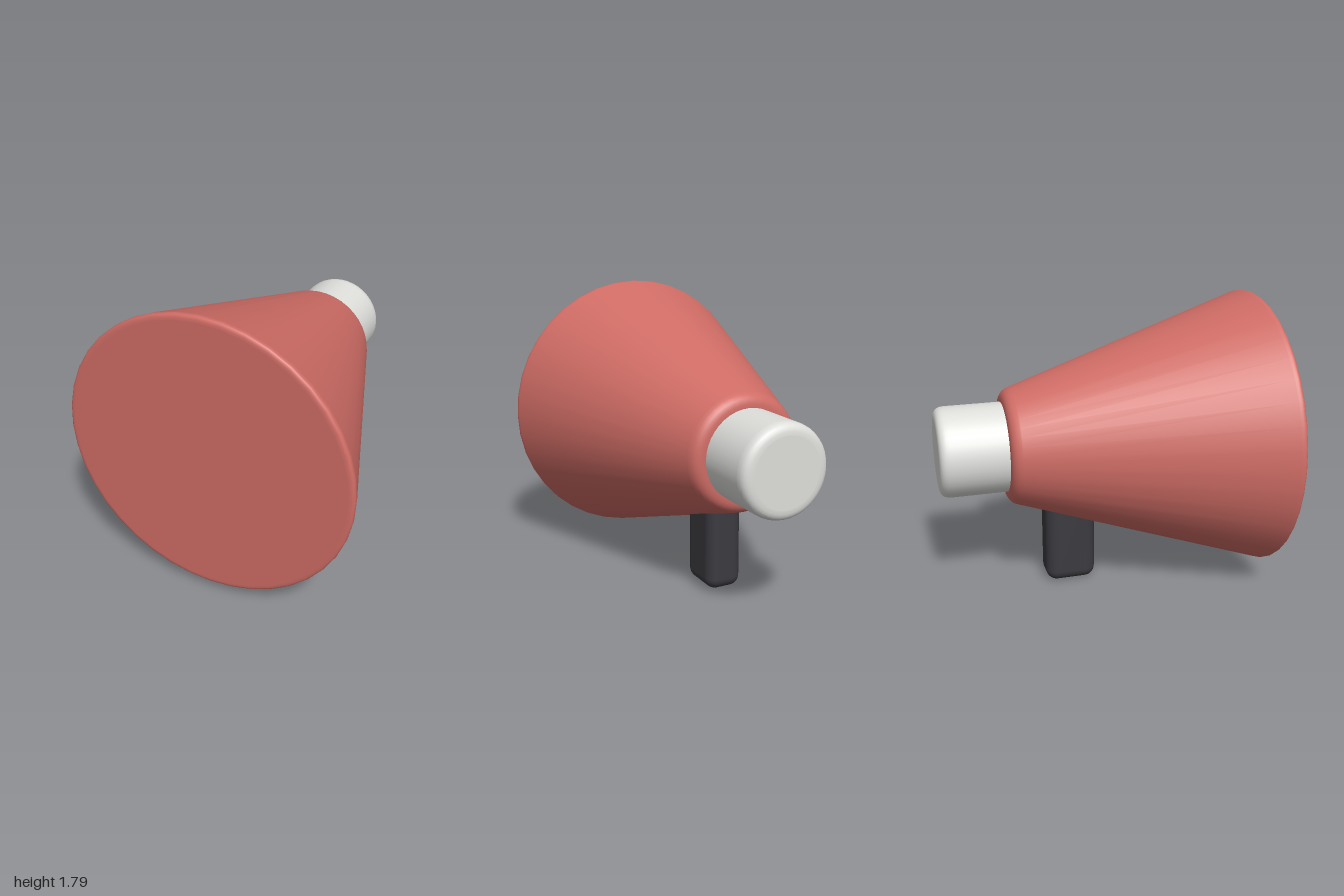
import * as THREE from 'three';
import { RoundedBoxGeometry } from 'three/addons/geometries/RoundedBoxGeometry.js';

const AXIS_Y = 0.925; // height of the horn's axis

const red = new THREE.MeshStandardMaterial({ color: 0xcf6c65 });
red.name = 'coral red';
const grey = new THREE.MeshStandardMaterial({ color: 0xdededb });
grey.name = 'light grey';
const dark = new THREE.MeshStandardMaterial({ color: 0x3b3b40 });
dark.name = 'charcoal';

// Closed frustum along z with filleted rims, from (z0, r0) at the back to (z1, r1) at the front
function roundedFrustum(z0, r0, f0, z1, r1, f1) {
  const back = new THREE.Vector2(r0, z0);
  const front = new THREE.Vector2(r1, z1);
  const dir = front.clone().sub(back).normalize();
  const fillet = (a, corner, b) => new THREE.QuadraticBezierCurve(a, corner, b).getPoints(6);
  const wallBack = back.clone().addScaledVector(dir, f0);
  const wallFront = front.clone().addScaledVector(dir, -f1);
  const nudge = 0.004; // support points keep the flat faces flat-shaded
  const points = [
    new THREE.Vector2(0, z0),
    new THREE.Vector2(r0 - f0 - nudge, z0),
    ...fillet(new THREE.Vector2(r0 - f0, z0), back, wallBack),
    wallBack.clone().addScaledVector(dir, nudge),
    wallFront.clone().addScaledVector(dir, -nudge),
    ...fillet(wallFront, front, new THREE.Vector2(r1 - f1, z1)),
    new THREE.Vector2(r1 - f1 - nudge, z1),
    new THREE.Vector2(0, z1),
  ];
  return new THREE.LatheGeometry(points, 40).rotateX(Math.PI / 2);
}

export function createModel() {
  const model = new THREE.Group();
  model.name = 'megaphone';
  const add = (name, geometry, material, x, y, z) => {
    const mesh = new THREE.Mesh(geometry, material);
    mesh.name = name;
    mesh.position.set(x, y, z);
    model.add(mesh);
  };

  // Closed conical horn, wide end forward
  add('horn', roundedFrustum(-0.595, 0.34, 0.06, 1, 0.875, 0.04), red, 0, AXIS_Y, 0);

  // Cylindrical mouthpiece at the back
  add('mouthpiece', roundedFrustum(-1, 0.275, 0.065, -0.54, 0.275, 0.02), grey, 0, AXIS_Y, 0);

  // Rounded grip below the horn
  add('handle', new RoundedBoxGeometry(0.23, 0.66, 0.315, 4, 0.07), dark, 0, 0.335, -0.197);

  return model;
}
